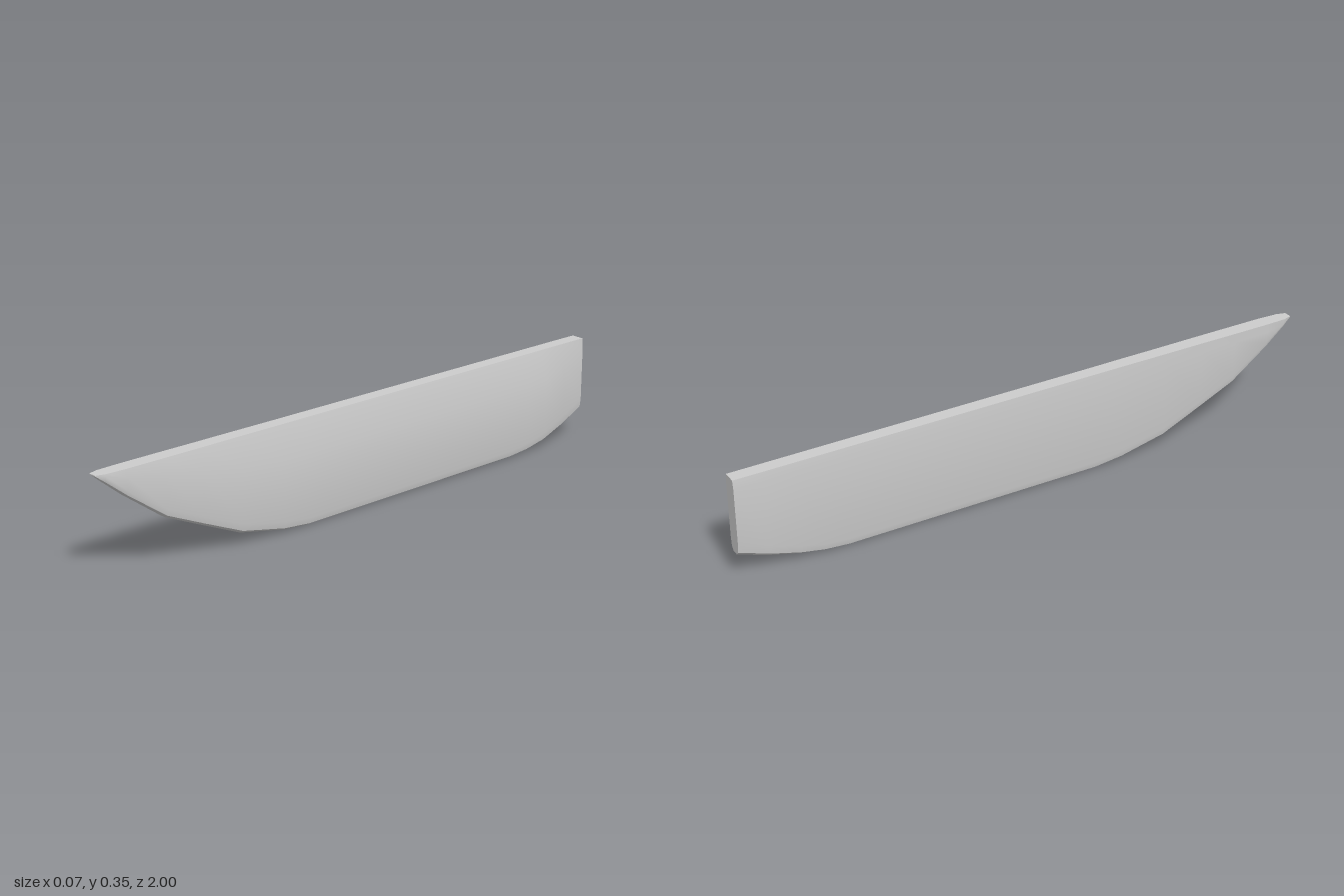
import * as THREE from 'three';
import { toCreasedNormals } from 'three/addons/utils/BufferGeometryUtils.js';

// Hull stations from stern to bow:
// [z, keelY, bilgeHeight, leftX, rightX, shoulderY, deckLeftX, deckRightX]
const stations = [
  [-1.00, 0.085, 0.040, -0.036, 0.015, 0.310, -0.032, 0.012],
  [-0.90, 0.048, 0.040, -0.036, 0.026, 0.275, -0.033, 0.012],
  [-0.80, 0.020, 0.035, -0.036, 0.036, 0.240, -0.033, 0.012],
  [-0.72, 0.006, 0.030, -0.036, 0.036, 0.240, -0.033, 0.012],
  [-0.64, 0.000, 0.028, -0.036, 0.036, 0.240, -0.033, 0.012],
  [0.24, 0.000, 0.028, -0.036, 0.036, 0.240, -0.034, 0.012],
  [0.34, 0.010, 0.030, -0.036, 0.036, 0.240, -0.034, 0.013],
  [0.50, 0.044, 0.032, -0.036, 0.033, 0.255, -0.035, 0.013],
  [0.64, 0.106, 0.030, -0.036, 0.028, 0.278, -0.035, 0.014],
  [0.77, 0.165, 0.028, -0.036, 0.023, 0.300, -0.036, 0.014],
  [0.90, 0.262, 0.020, -0.036, 0.017, 0.325, -0.036, 0.014],
  [0.97, 0.321, 0.012, -0.034, 0.011, 0.343, -0.034, 0.010],
  [1.00, 0.347, 0.001, -0.026, 0.001, 0.349, -0.026, 0.001],
];

// One closed cross-section: down the left side, across the keel, up the right
function section([z, keel, bilge, left, right, shoulder, deckL, deckR]) {
  const deckY = 0.346 + 0.004 * z;
  const x = (t) => left + (right - left) * t;
  return [
    [deckL, deckY], [left, Math.max(keel + bilge, deckY - 0.03)], [left, keel + bilge],
    [x(0.07), keel + bilge * 0.3], [x(0.28), keel],
    [x(0.72), keel], [x(0.93), keel + bilge * 0.3],
    [right, keel + bilge], [right, shoulder], [deckR, deckY],
  ].map(([px, py]) => [px, py, z]);
}

// Skin the stations and close the transom and bow tip
function hullGeometry() {
  const rings = stations.map(section);
  const n = rings[0].length;
  const index = [];
  for (let i = 0; i < rings.length - 1; i++) {
    for (let j = 0; j < n; j++) {
      const k = (j + 1) % n;
      const a = i * n + j, b = i * n + k, c = b + n, d = a + n;
      index.push(a, b, c, a, c, d);
    }
  }
  const tip = (rings.length - 1) * n;
  for (let j = 1; j < n - 1; j++) {
    index.push(0, j + 1, j, tip, tip + j, tip + j + 1);
  }
  const geometry = new THREE.BufferGeometry();
  geometry.setAttribute('position', new THREE.Float32BufferAttribute(rings.flat(2), 3));
  geometry.setIndex(index);
  return toCreasedNormals(geometry, 0.45);
}

export function createModel() {
  const model = new THREE.Group();
  model.name = 'slenderHull';
  const hull = new THREE.Mesh(hullGeometry(), new THREE.MeshStandardMaterial({ color: 0xcccccc }));
  hull.name = 'hull';
  model.add(hull);
  return model;
}
